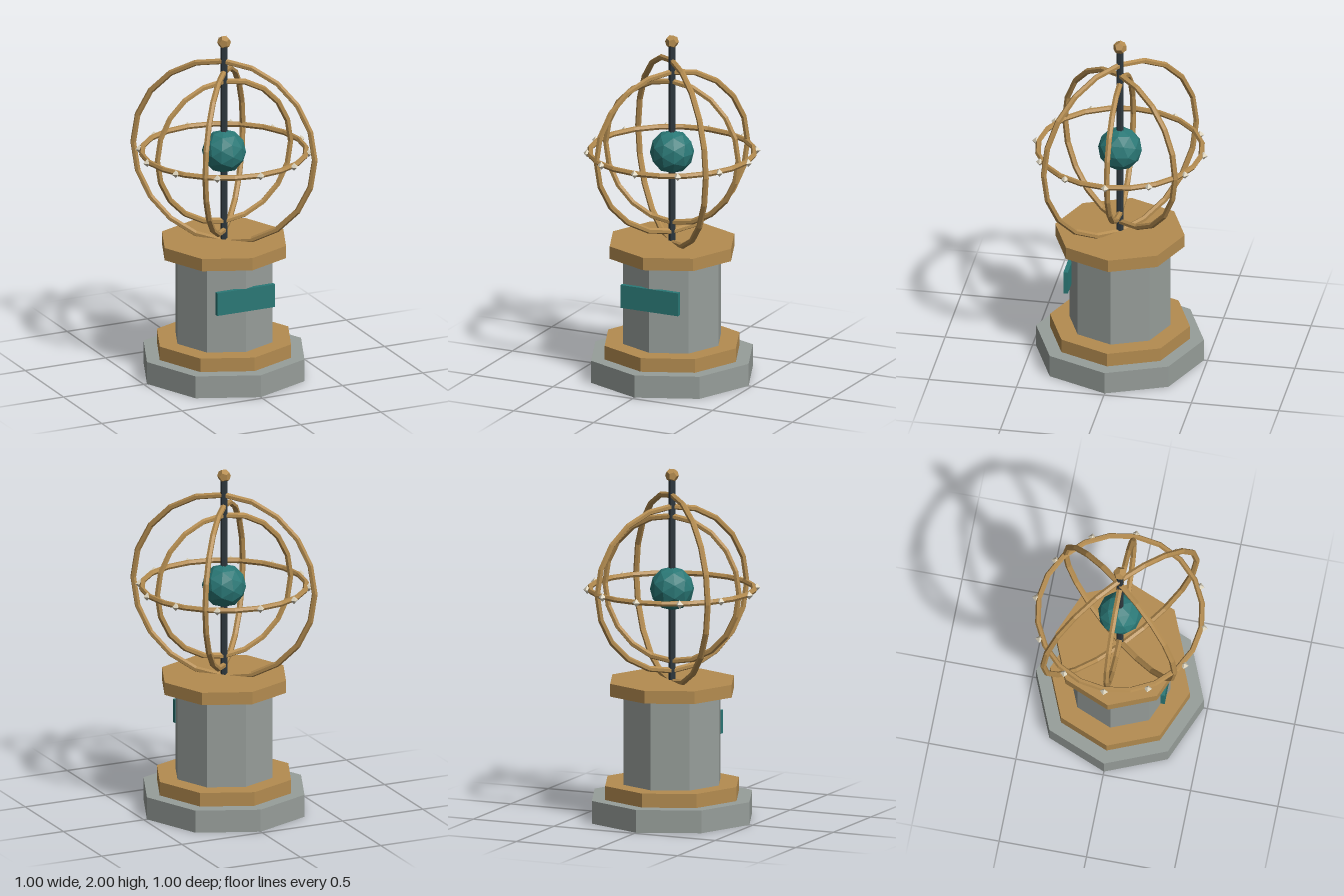
import * as THREE from 'three';

const paint = (color) => {
  const m = new THREE.MeshStandardMaterial({ flatShading: true });
  m.color.set(color);
  return m;
};

export function createModel() {
  const root = new THREE.Group();
  const stone = paint(0x979e9a), brass = paint(0xb48c50), teal = paint(0x2a7876);
  const iron = paint(0x2e383e), ivory = paint(0xd8d0ba);

  const add = (name, geometry, material, x = 0, y = 0, z = 0, parent = root) => {
    const mesh = new THREE.Mesh(geometry, material);
    mesh.name = name;
    mesh.position.set(x, y, z);
    parent.add(mesh);
    return mesh;
  };

  // Octagonal pedestal, one corner facing the front
  const tier = (name, r, y0, y1, material) =>
    add(name, new THREE.CylinderGeometry(r, r, y1 - y0, 8), material, 0, (y0 + y1) / 2, 0);
  tier('baseSlab', 0.48, 0, 0.13, stone);
  tier('lowerTrim', 0.4, 0.13, 0.21, brass);
  tier('column', 0.29, 0.21, 0.72, stone);
  tier('capital', 0.37, 0.72, 0.793, brass);

  // Blank plaque on the front corner of the column
  add('plaque', new THREE.BoxGeometry(0.36, 0.135, 0.025), teal, 0, 0.518, 0.278);

  // Axis, globe and finial
  const cy = 1.315;
  add('axisRod', new THREE.CylinderGeometry(0.02, 0.02, 1.17, 6), iron, 0, 1.365, 0);
  add('globe', new THREE.IcosahedronGeometry(0.125, 1), teal, 0, cy, 0);
  add('finial', new THREE.DodecahedronGeometry(0.039), brass, 0, 1.963, 0);

  // Upright rings, each turned about the axis
  const rings = new THREE.Group();
  rings.name = 'meridianRings';
  root.add(rings);
  for (const [radius, turn] of [[0.415, 0], [0.47, 0.9], [0.535, -0.75]]) {
    const ring = add('meridianRing', new THREE.TorusGeometry(radius, 0.017, 6, 20), brass, 0, cy, 0, rings);
    ring.rotation.y = turn;
  }

  // Level ring with twelve studs
  const horizon = new THREE.Group();
  horizon.name = 'horizon';
  horizon.position.y = cy;
  root.add(horizon);
  add('horizonRing', new THREE.TorusGeometry(0.465, 0.016, 6, 20), brass, 0, 0, 0, horizon).rotation.x = Math.PI / 2;
  for (let i = 0; i < 12; i++) {
    const a = (i * Math.PI) / 6;
    add('stud', new THREE.OctahedronGeometry(0.024), ivory, 0.478 * Math.cos(a), 0, 0.478 * Math.sin(a), horizon);
  }

  return root;
}
